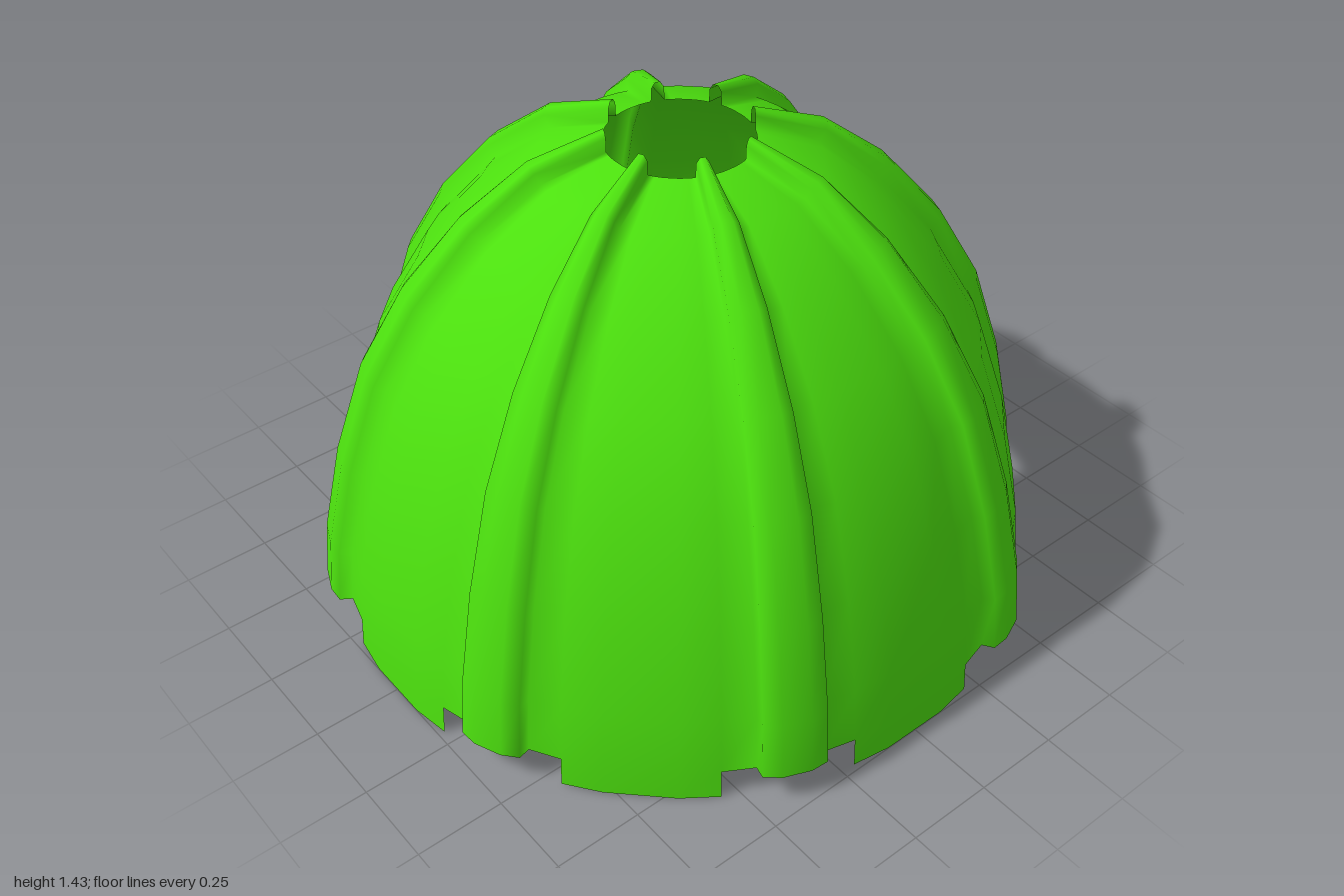
import * as THREE from 'three';

export function createModel() {
  const group = new THREE.Group();
  const green = new THREE.MeshStandardMaterial({ color: 0x4ce00e, side: THREE.DoubleSide });
  green.name = 'bright green';

  // Dome profile: radius, height, from the skirt hem up to the top opening
  const profile = [
    [1.004, 0], [0.998, 0.09], [0.98, 0.26], [0.92, 0.525], [0.83, 0.79],
    [0.705, 1.005], [0.545, 1.19], [0.375, 1.32], [0.2, 1.375],
  ];
  // One sector: angle from the rib centre in degrees, height raised above the dome
  const section = [
    [-10.5, 0], [-5.3, 0], [-4.9, 0.036], [-2.2, 0.05], [2.2, 0.05],
    [4.9, 0.036], [5.3, 0], [10.5, 0], [16.9, 0], [28.1, 0],
  ];
  const sectors = 8, cols = section.length * sectors;

  // Outward direction of the profile at each row; straight up at the opening
  const normals = profile.map((p, j) => {
    if (j === profile.length - 1) return [0, 1.1];
    const a = profile[Math.max(j - 1, 0)], b = profile[j + 1];
    const dr = b[0] - a[0], dy = b[1] - a[1], len = Math.hypot(dr, dy);
    return [dy / len, -dr / len];
  });

  const positions = [], indices = [];
  profile.forEach(([r, y], j) => {
    for (let i = 0; i < cols; i++) {
      const [deg, lift] = section[i % section.length];
      const sector = Math.floor(i / section.length);
      const a = THREE.MathUtils.degToRad(22.5 + 45 * sector + deg);
      const radius = r + normals[j][0] * lift;
      positions.push(radius * Math.sin(a), y + normals[j][1] * lift, radius * Math.cos(a));
    }
  });

  for (let j = 0; j < profile.length - 1; j++) {
    for (let i = 0; i < cols; i++) {
      // The hem is notched below every rib
      if (j === 0 && i % section.length < 7) continue;
      const n = (i + 1) % cols;
      const a = j * cols + i, b = j * cols + n, c = b + cols, d = a + cols;
      indices.push(a, b, c, a, c, d);
    }
  }

  const geometry = new THREE.BufferGeometry();
  geometry.setAttribute('position', new THREE.Float32BufferAttribute(positions, 3));
  geometry.setIndex(indices);
  geometry.computeVertexNormals();

  const dome = new THREE.Mesh(geometry, green);
  dome.name = 'ribbedDome';
  group.add(dome);
  return group;
}
